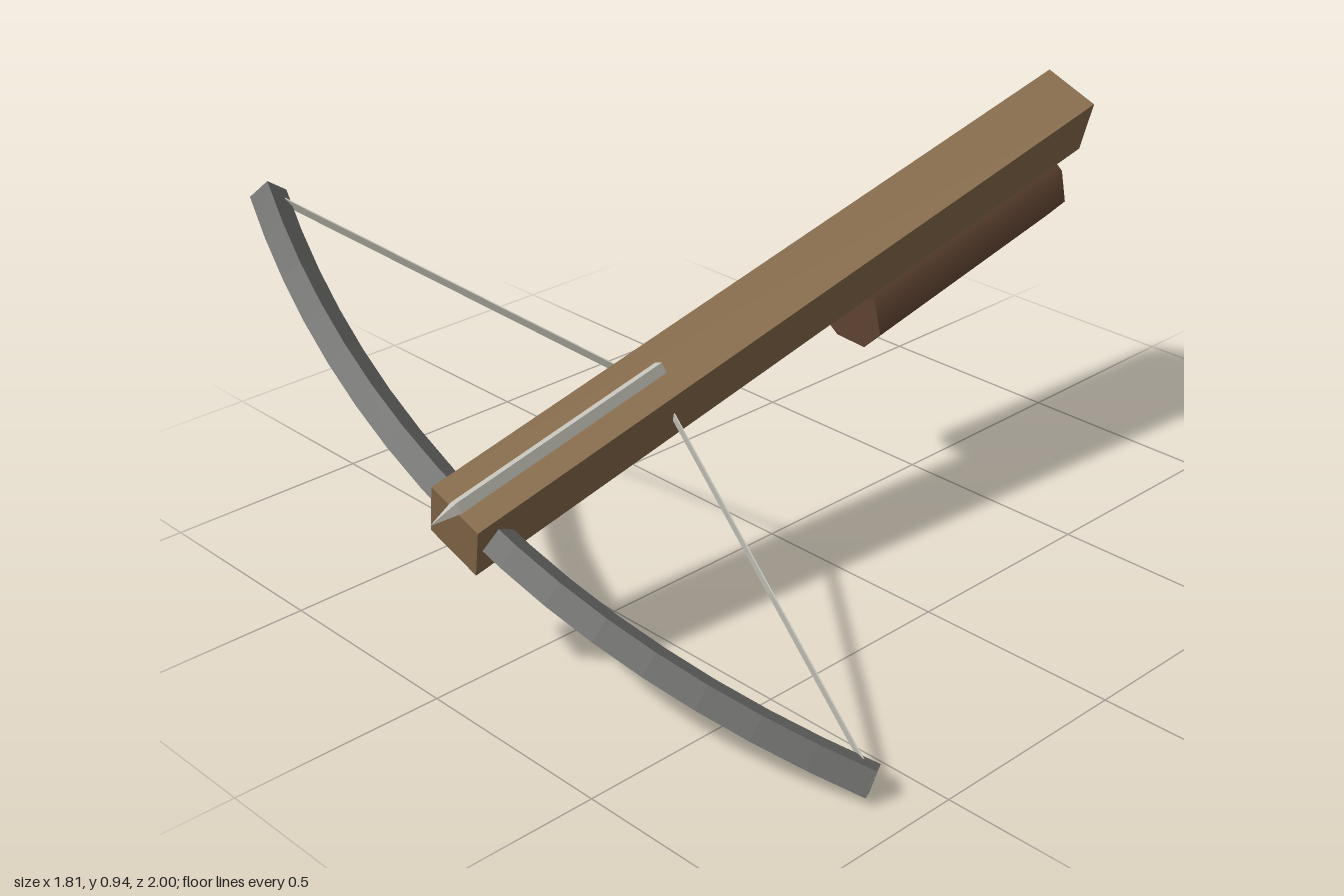
import * as THREE from 'three';

const material = (name, color, extra = {}) => {
  const m = new THREE.MeshStandardMaterial({ color, ...extra });
  m.name = name;
  return m;
};

export function createModel() {
  const wood = material('wood', 0x8b6f4e, { flatShading: true });
  const darkWood = material('dark wood', 0x6b4c38);
  const steel = material('dark steel', 0x676765, { flatShading: true, side: THREE.DoubleSide });
  const pale = material('pale grey', 0xc4c2b8, { flatShading: true });

  const group = new THREE.Group();
  group.name = 'crossbow';
  const add = (name, geometry, mat) => {
    const mesh = new THREE.Mesh(geometry, mat);
    mesh.name = name;
    group.add(mesh);
    return mesh;
  };

  // Built level and pointing along +z, with the stock at the origin
  add('stock', new THREE.BoxGeometry(0.148, 0.161, 1.95), wood);

  // Eight-sided butt slung under the rear of the stock
  const butt = new THREE.CylinderGeometry(0.12, 0.12, 0.675, 8).rotateX(Math.PI / 2);
  add('butt', butt, darkWood).position.set(0, -0.19, -0.567);

  // Curved bow with a diamond section, passing through the stock
  const tipX = 0.975, tipZ = 0.715, apexZ = 0.92;
  const bowCurve = new THREE.QuadraticBezierCurve3(
    new THREE.Vector3(-tipX, 0, tipZ),
    new THREE.Vector3(0, 0, 2 * apexZ - tipZ),
    new THREE.Vector3(tipX, 0, tipZ)
  );
  add('bow', new THREE.TubeGeometry(bowCurve, 16, 0.042, 4), steel);

  // Flat string halves drawn back to the stock
  const nockZ = 0.396;
  for (const side of [-1, 1]) {
    const length = Math.hypot(tipX, tipZ - nockZ);
    const half = add(side > 0 ? 'leftString' : 'rightString',
      new THREE.BoxGeometry(length, 0.025, 0.003), pale);
    half.position.set(side * tipX / 2, 0, (tipZ + nockZ) / 2);
    half.rotation.y = -side * Math.atan2(tipZ - nockZ, tipX);
  }

  // Bolt lying on top of the stock
  const shaft = new THREE.CylinderGeometry(0.018, 0.018, 0.57, 4).rotateX(Math.PI / 2);
  add('boltShaft', shaft, pale).position.set(0, 0.085, 0.685);
  const tip = new THREE.ConeGeometry(0.018, 0.07, 4).rotateX(Math.PI / 2);
  add('boltTip', tip, pale).position.set(0, 0.085, 1.005);

  // Tilt the whole weapon: nose down and rolled to its left
  const forward = new THREE.Vector3(-0.0333, -0.2436, 0.9693).normalize();
  const up = forward.clone().cross(new THREE.Vector3(0.911, -0.405, -0.0705)).normalize();
  const across = up.clone().cross(forward);
  group.quaternion.setFromRotationMatrix(new THREE.Matrix4().makeBasis(across, up, forward));
  group.position.set(0.0225, 0.6125, -0.025);

  const model = new THREE.Group();
  model.name = 'model';
  model.add(group);
  return model;
}
